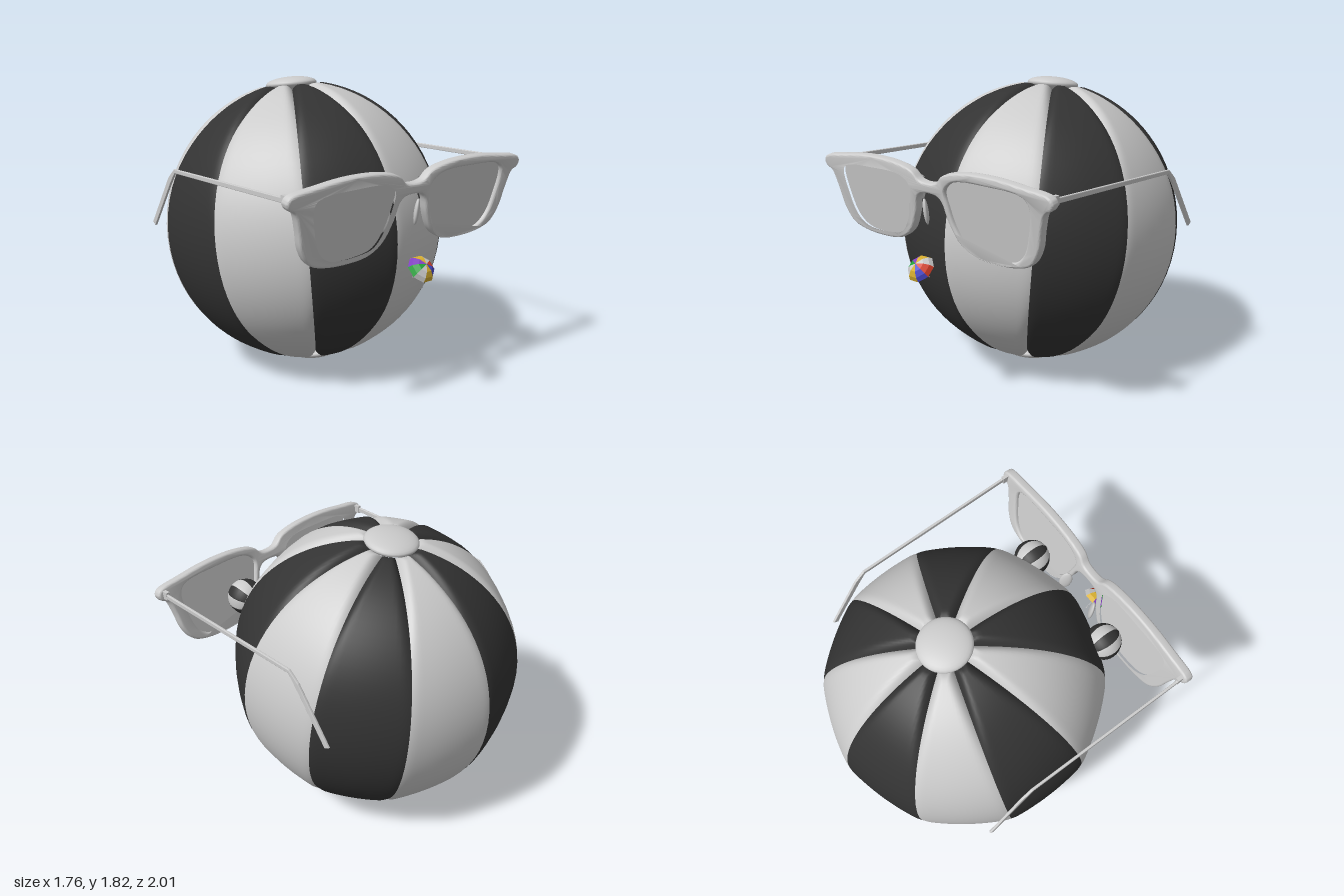
import * as THREE from 'three';
import { toCreasedNormals } from 'three/addons/utils/BufferGeometryUtils.js';

const mat = (color = 0xcccccc, extra = {}) => new THREE.MeshStandardMaterial({ color, ...extra });
const grey = mat();
const dark = mat(0x333333);

function add(parent, name, geometry, material = grey, pos = [0, 0, 0]) {
  const mesh = new THREE.Mesh(geometry, material);
  mesh.name = name;
  mesh.position.set(...pos);
  parent.add(mesh);
  return mesh;
}

// One puffed ball panel: a plane wrapped over a tenth of a sphere, pinched at its edges
function panelGeometry(nu, nv) {
  const geo = new THREE.PlaneGeometry(2, 1, nu, nv);
  const p = geo.attributes.position;
  const end = 0.13, half = Math.PI / 10;
  for (let i = 0; i < p.count; i++) {
    const u = Math.sin(p.getX(i) * Math.PI / 2);
    let v = 0.5 - p.getY(i);
    v -= 0.12 * Math.sin(2 * Math.PI * v);
    const theta = end + v * (Math.PI - 2 * end);
    const phi = half * (1 + u);
    const s = Math.sin(theta), c = Math.cos(theta);
    const side = (1 - Math.abs(u)) * half * s * 0.88;
    const tip = Math.min(theta - end, Math.PI - end - theta) * 0.88;
    const seam = (0.005 + 0.045 * c ** 4) * Math.max(0, 1 - side / 0.05) ** 2;
    const fall = 0.06 * Math.max(0, 1 - tip / 0.09) ** 2;
    const r = 0.884 - 0.02 * s * s * (1 - u * u) - Math.max(seam, fall);
    p.setXYZ(i, r * s * Math.sin(phi), r * c, r * s * Math.cos(phi));
  }
  geo.computeVertexNormals();
  return geo;
}

// Ten alternating panels and a round cap at each pole
function beachBall(name, nu, nv) {
  const ball = new THREE.Group();
  ball.name = name;
  const geo = panelGeometry(nu, nv);
  for (let i = 0; i < 10; i++) {
    add(ball, 'panel', geo, i % 2 ? dark : grey).rotation.y = i * Math.PI / 5;
  }
  for (const s of [1, -1]) {
    add(ball, 'cap', new THREE.SphereGeometry(0.16, 32, 16), grey, [0, s * 0.868, 0]).scale.y = 0.28;
  }
  return ball;
}

const vecs = (pts, sx = 1) => pts.map(([x, y]) => new THREE.Vector2(x * sx, y - 1.18));

function closedCurve(target, pts) {
  const curve = new THREE.CatmullRomCurve3(
    pts.map(q => new THREE.Vector3(q.x, q.y, 0)), true, 'centripetal');
  return target.setFromPoints(curve.getPoints(pts.length * 5).slice(0, -1).map(q => new THREE.Vector2(q.x, q.y)));
}

function glasses() {
  const group = new THREE.Group();
  group.name = 'sunglasses';
  const front = new THREE.Group();
  front.name = 'glassesFront';
  front.position.set(0, 1.18, 0.829);
  front.rotation.x = 0.15;
  group.add(front);

  // Frame outline (one half, mirrored) with two lens openings
  const outline = [[0.06, 1.335], [0.12, 1.385], [0.25, 1.418], [0.48, 1.427], [0.7, 1.405],
    [0.86, 1.378], [0.88, 1.345], [0.865, 1.312], [0.825, 1.29], [0.79, 1.19], [0.76, 1.07],
    [0.7, 0.98], [0.6, 0.943], [0.42, 0.931], [0.28, 0.95], [0.19, 1.01], [0.125, 1.13],
    [0.095, 1.23], [0.06, 1.26]];
  const hole = [[0.13, 1.3], [0.14, 1.21], [0.18, 1.08], [0.25, 0.985], [0.36, 0.957], [0.57, 0.965],
    [0.655, 1.03], [0.705, 1.17], [0.72, 1.31], [0.68, 1.355], [0.45, 1.375], [0.2, 1.36]];
  const shape = closedCurve(new THREE.Shape(), [...vecs(outline), ...vecs(outline, -1).reverse()]);
  for (const s of [1, -1]) shape.holes.push(closedCurve(new THREE.Path(), vecs(hole, s)));
  const frame = new THREE.ExtrudeGeometry(shape, {
    depth: 0.032, bevelThickness: 0.014, bevelSize: 0.014, bevelOffset: -0.014, bevelSegments: 4 });
  frame.translate(0, 0, -0.016);
  add(front, 'frame', toCreasedNormals(frame, 0.6));

  // Temple arm drawn in side view: straight, then bent down behind
  const arm = new THREE.Shape([[0.84, 1.375], [0.78, 1.36], [-0.27, 1.325], [-0.34, 1.265],
    [-0.56, 0.945], [-0.53, 0.928], [-0.32, 1.23], [-0.265, 1.3], [0.78, 1.33], [0.84, 1.32]]
    .map(q => new THREE.Vector2(...q)));
  const armGeo = new THREE.ExtrudeGeometry(arm, {
    depth: 0.008, bevelThickness: 0.004, bevelSize: 0.004, bevelOffset: -0.004, bevelSegments: 2 });
  armGeo.translate(0, 0, -0.004).rotateY(-Math.PI / 2);

  for (const s of [1, -1]) {
    const lens = closedCurve(new THREE.Shape(), vecs(hole, s));
    add(front, 'lens', new THREE.ExtrudeGeometry(lens, { depth: 0.012, bevelEnabled: false }), grey, [0, 0, -0.006]);
    const pad = add(front, 'nosePad', new THREE.SphereGeometry(1, 16, 12), grey, [s * 0.13, -0.07, -0.055]);
    pad.scale.set(0.016, 0.08, 0.04);
    pad.rotation.y = -s * 0.8;
    add(group, 'hinge', new THREE.BoxGeometry(0.024, 0.05, 0.05), grey, [s * 0.84, 1.348, 0.815]);
    // The extrusion maps side-view z to the model's z
    add(group, 'temple', armGeo, grey, [s * 0.843, 0, 0]);
  }
  return group;
}

// Small eight-panel parasol used as a nose
function parasol() {
  const group = new THREE.Group();
  group.name = 'parasolNose';
  const colors = [0xd9b030, 0x4a4ad0, 0xd84028, 0xcccccc, 0xd9b030, 0x8040c0, 0x20a038, 0xcccccc];
  const profile = [[0.086, 0], [0.073, 0.026], [0.045, 0.048], [0, 0.06]].map(q => new THREE.Vector2(...q));
  colors.forEach((color, i) => {
    const geo = new THREE.LatheGeometry(profile, 1, (i - 0.5) * Math.PI / 4, Math.PI / 4);
    add(group, 'canopyPanel', geo, mat(color, { flatShading: true, side: THREE.DoubleSide }));
  });
  add(group, 'stick', new THREE.CylinderGeometry(0.0018, 0.0018, 0.16, 8), grey, [0, -0.014, 0]);
  group.position.set(0, 0.845, 0.94);
  group.rotation.x = Math.PI / 4;
  return group;
}

export function createModel() {
  const model = new THREE.Group();
  model.name = 'beachBallWithSunglasses';

  const body = beachBall('bodyBall', 20, 56);
  body.position.set(0, 0.907, -0.127);
  body.rotation.x = -0.135;
  model.add(body);

  // Eyes are the same ball, small, with poles facing forward
  for (const s of [1, -1]) {
    const eye = beachBall('eyeBall', 8, 24);
    eye.scale.setScalar(0.128);
    eye.position.set(s * 0.355, 1.193, 0.662);
    eye.rotation.x = Math.PI / 2 - 0.1;
    model.add(eye);
  }

  model.add(glasses(), parasol());
  return model;
}
